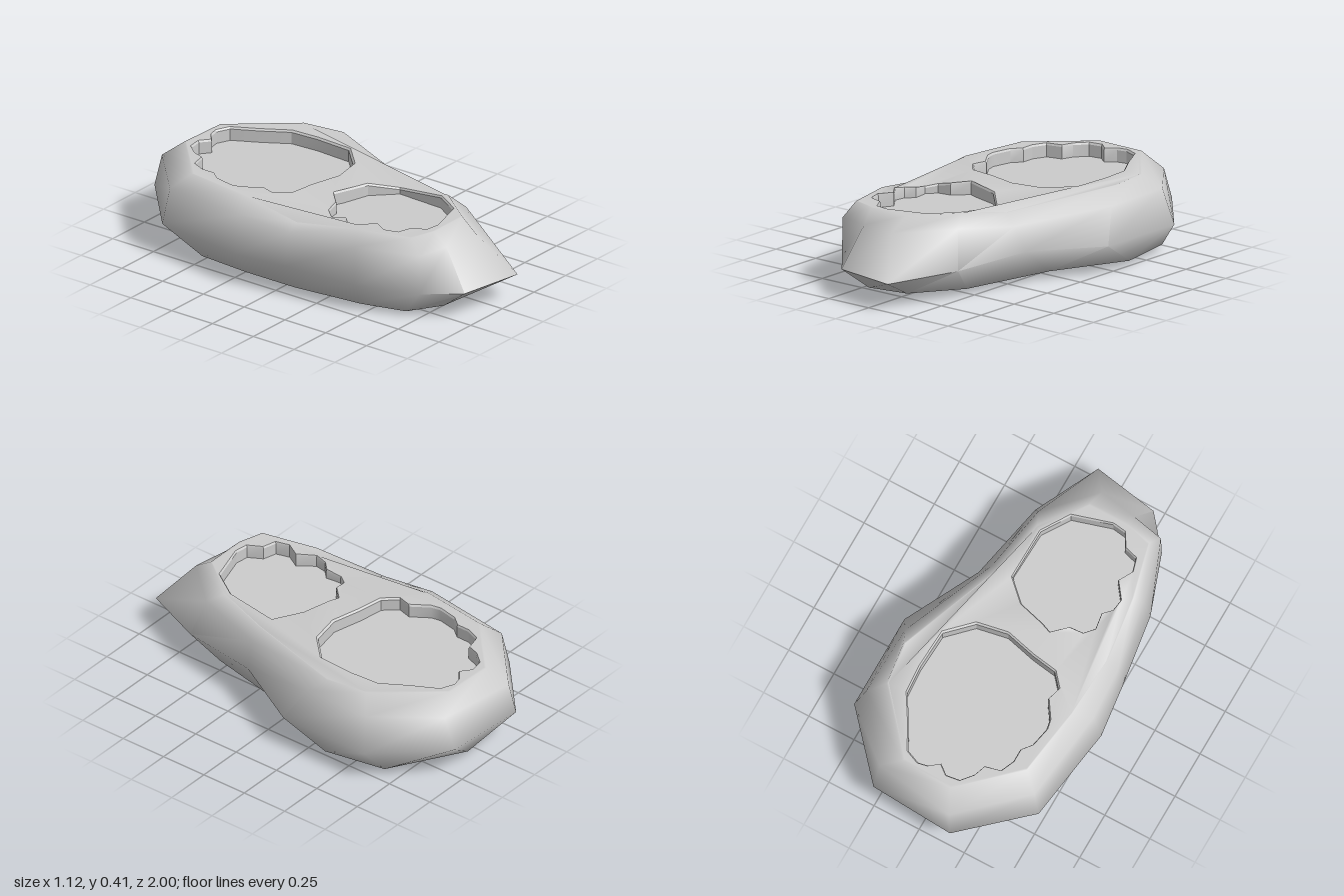
import * as THREE from 'three';
import { toCreasedNormals } from 'three/addons/utils/BufferGeometryUtils.js';

const TOP = 0.41, FLOOR = 0.34;
const grey = () => new THREE.MeshStandardMaterial({ color: 0xcccccc });

// Joins closed rings of [x, y, z] points, listed from low to high.
function loft(rings, crease) {
  const n = rings[0].length, index = [];
  for (let j = 0; j < rings.length - 1; j++) {
    for (let i = 0; i < n; i++) {
      const k = (i + 1) % n, a = j * n + i, b = j * n + k;
      index.push(a, a + n, b, b, a + n, b + n);
    }
  }
  const g = new THREE.BufferGeometry();
  g.setAttribute('position', new THREE.Float32BufferAttribute(rings.flat(2), 3));
  g.setIndex(index);
  return toCreasedNormals(g, crease);
}

// Height of the top: level, with a dip on either side of the waist
function topHeight(x, z) {
  const dip = (cx, cz, depth) => depth * Math.exp(-((x - cx) ** 2 + (z - cz) ** 2) / 0.03);
  return TOP - dip(-0.44, 0.15, 0.06) - dip(0.26, 0.27, 0.05);
}
const floorHeight = () => FLOOR;

// Places [x, z] points at the height a function gives, lowered by drop.
const raise = (pts, height, drop = 0) => pts.map(([x, z]) => [x, height(x, z) - drop, z]);

// Sheet facing up that follows a height function, with optional holes.
function sheet(pts, height, holes = []) {
  const toPoints = (list) => list.map(([x, z]) => new THREE.Vector2(x, -z));
  const shape = new THREE.Shape(toPoints(pts));
  holes.forEach((h) => shape.holes.push(new THREE.Path(toPoints(h))));
  const g = new THREE.ShapeGeometry(shape).rotateX(-Math.PI / 2);
  const p = g.attributes.position;
  for (let i = 0; i < p.count; i++) p.setY(i, height(p.getX(i), p.getZ(i)));
  g.computeVertexNormals();
  return g;
}

function grow(pts, s) {
  const cx = pts.reduce((t, p) => t + p[0], 0) / pts.length;
  const cz = pts.reduce((t, p) => t + p[1], 0) / pts.length;
  return pts.map(([x, z]) => [cx + (x - cx) * s, cz + (z - cz) * s]);
}

// Body rings, each starting at the back and running round by +x
const base = [
  [-0.26, 0.03, -0.78], [0.08, 0.03, -0.9], [0.45, 0.03, -0.68], [0.51, 0.03, -0.36],
  [0.33, 0.03, 0.03], [0.22, 0.03, 0.52], [0.05, 0.03, 0.77], [-0.18, 0.02, 0.78],
  [-0.31, 0, 0.65], [-0.4, 0.015, 0.44], [-0.46, 0.025, 0.08], [-0.47, 0.03, -0.2], [-0.45, 0.03, -0.49],
];
const belly = [
  [-0.17, 0.17, -1], [0.27, 0.17, -0.97], [0.56, 0.16, -0.64], [0.56, 0.16, -0.14],
  [0.36, 0.18, 0.24], [0.28, 0.16, 0.66], [0.12, 0.14, 1], [-0.22, 0.14, 0.94],
  [-0.36, 0.14, 0.77], [-0.47, 0.14, 0.46], [-0.53, 0.16, 0.08], [-0.565, 0.16, -0.2], [-0.495, 0.16, -0.7],
];
const shoulder = [
  [-0.15, 0.33, -0.97], [0.27, 0.33, -0.91], [0.51, 0.34, -0.61], [0.5, 0.33, -0.24],
  [0.3, 0.3, 0.26], [0.23, 0.35, 0.6], [0.01, 0.34, 0.84], [-0.19, 0.34, 0.805],
  [-0.355, 0.34, 0.77], [-0.44, 0.33, 0.44], [-0.5, 0.33, 0.08], [-0.52, 0.35, -0.2], [-0.46, 0.34, -0.68],
];
const rim = [
  [-0.1, -0.87], [0.17, -0.86], [0.43, -0.55], [0.46, -0.33], [0.25, 0.26], [0.19, 0.52], [0.02, 0.74],
  [-0.2, 0.74], [-0.33, 0.7], [-0.4, 0.42], [-0.44, 0.08], [-0.43, -0.25], [-0.38, -0.61],
];

// Recess outlines, scalloped along the -x side
const largeRecess = [
  [0.04, -0.04], [0.2, -0.07], [0.32, -0.19], [0.33, -0.39], [0.32, -0.54], [0.24, -0.67],
  [0.17, -0.8], [0.1, -0.83], [0.05, -0.82], [0, -0.78], [-0.05, -0.82], [-0.12, -0.81],
  [-0.17, -0.75], [-0.19, -0.69], [-0.27, -0.67], [-0.3, -0.6], [-0.3, -0.53], [-0.34, -0.48],
  [-0.36, -0.38], [-0.35, -0.33], [-0.29, -0.24], [-0.31, -0.17], [-0.25, -0.1], [-0.12, -0.08],
];
const smallRecess = [
  [-0.13, 0.07], [-0.08, 0.09], [0.06, 0.13], [0.17, 0.24], [0.16, 0.5], [0.07, 0.64],
  [-0.13, 0.7], [-0.2, 0.69], [-0.24, 0.62], [-0.31, 0.6], [-0.33, 0.53], [-0.29, 0.46],
  [-0.35, 0.38], [-0.34, 0.32], [-0.3, 0.28], [-0.31, 0.2], [-0.27, 0.15], [-0.2, 0.14],
].reverse();

export function createModel() {
  const group = new THREE.Group();
  const add = (name, geometry) => {
    const mesh = new THREE.Mesh(geometry, grey());
    mesh.name = name;
    group.add(mesh);
  };

  // Stone body: flat underside rounding into the sides and over onto the top
  const centre = base.map(() => [0, 0.03, 0]);
  const inset = base.map(([x, y, z]) => [x * 0.85, y, z * 0.85]);
  const lip = grow(rim, 0.985);
  const top = [raise(rim, topHeight), raise(lip, topHeight)];
  add('stoneBody', loft([centre, inset, base, belly, shoulder, ...top], 1.25));

  // Top face, cut out for both recesses
  const recesses = [['largeRecess', largeRecess], ['smallRecess', smallRecess]];
  add('topFace', sheet(lip, topHeight, recesses.map(([, pts]) => grow(pts, 1.02))));

  // Recess walls with a slim bevelled lip, and their floors
  recesses.forEach(([name, pts]) => {
    const edge = grow(pts, 1.02);
    const rings = [raise(pts, floorHeight), raise(pts, topHeight, 0.01), raise(edge, topHeight)];
    add(name + 'Wall', loft(rings, 0.4));
    add(name + 'Floor', sheet(pts, floorHeight));
  });

  return group;
}
